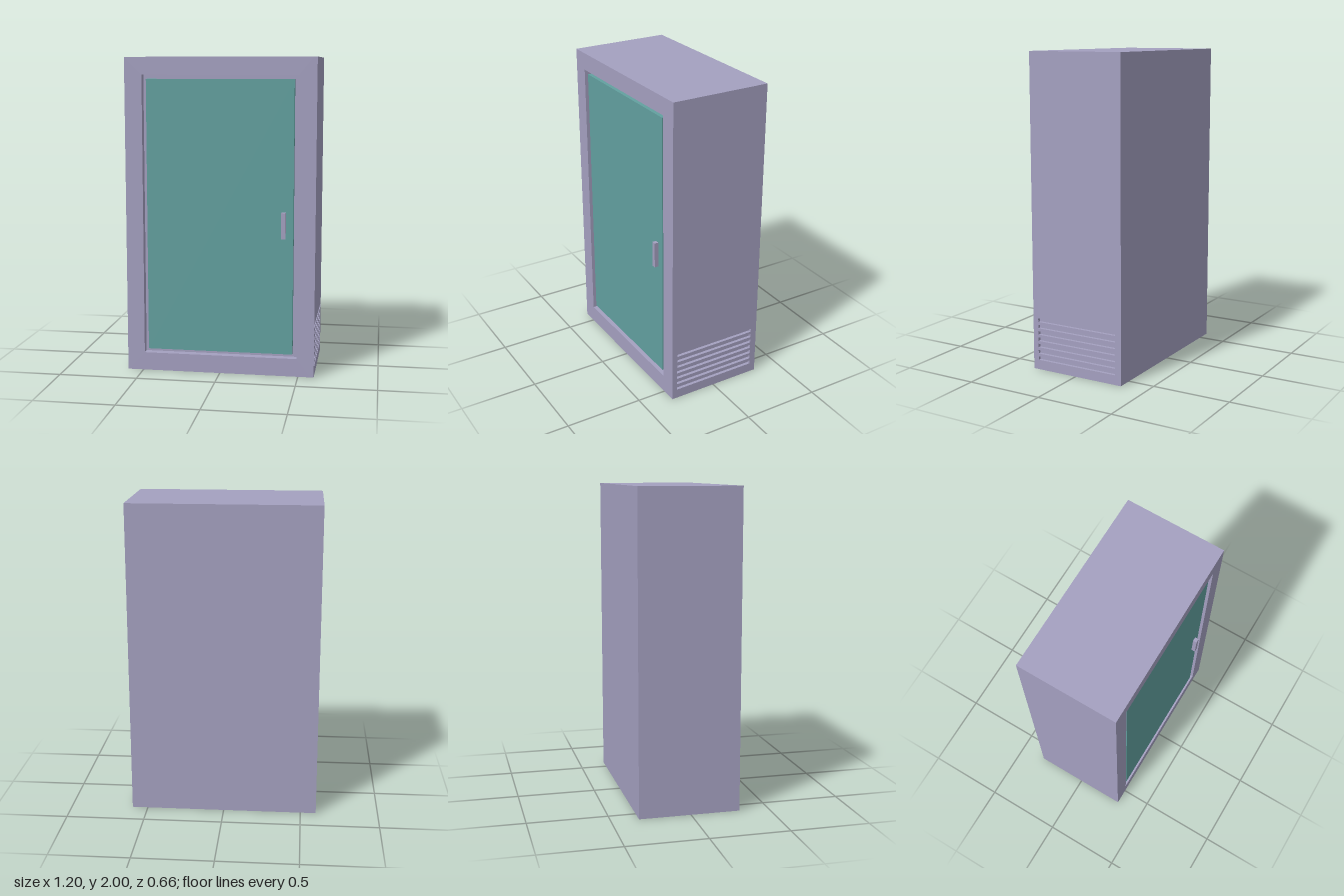
import * as THREE from 'three';

export function createModel() {
  const model = new THREE.Group();
  model.name = 'cabinet';
  const casing = new THREE.MeshStandardMaterial({ color: 0xa4a0c0 });
  casing.name = 'lavender casing';
  const doorColor = new THREE.MeshStandardMaterial({ color: 0x62a09f });
  doorColor.name = 'teal door';

  const BACK = -0.328, FRONT = 0.312, RECESS = 0.05, SIDE = 0.6, SLOT = 0.02;

  const add = (name, geometry, material) => {
    const mesh = new THREE.Mesh(geometry, material);
    mesh.name = name;
    model.add(mesh);
    return mesh;
  };
  // Box given by its limits on each axis
  const box = (name, [x0, x1], [y0, y1], [z0, z1], material) =>
    add(name, new THREE.BoxGeometry(x1 - x0, y1 - y0, z1 - z0), material)
      .position.set((x0 + x1) / 2, (y0 + y1) / 2, (z0 + z1) / 2);
  const rect = (path, x0, x1, y0, y1) =>
    path.moveTo(x0, y0).lineTo(x1, y0).lineTo(x1, y1).lineTo(x0, y1).closePath();
  // Flat panel with rectangular openings
  const panel = (outer, holes, depth) => {
    const shape = rect(new THREE.Shape(), ...outer);
    holes.forEach(h => shape.holes.push(rect(new THREE.Path(), ...h)));
    return new THREE.ExtrudeGeometry(shape, { depth, bevelEnabled: false });
  };

  // Main body behind the front frame and vented side
  box('body', [-SIDE, SIDE - SLOT], [0, 2], [BACK, FRONT - RECESS], casing);

  // Front frame around the door opening
  add('frontFrame', panel([-SIDE, SIDE - SLOT, 0, 2], [[-0.49, 0.49, 0.115, 1.89]], RECESS), casing)
    .position.z = FRONT - RECESS;

  // Left side panel with seven ventilation slots; its shape runs along -z
  const slots = [];
  for (let i = 0; i < 7; i++) {
    const y = 0.062 + i * 0.0415;
    slots.push([-0.276, 0.287, y, y + 0.023]);
  }
  const side = add('ventedSide', panel([-FRONT, -BACK, 0, 2], slots, SLOT), casing);
  side.rotation.y = Math.PI / 2;
  side.position.x = SIDE - SLOT;

  // Door and its handle
  box('door', [-0.465, 0.462], [0.14, 1.865], [FRONT - RECESS, 0.302], doorColor);
  box('handle', [0.387, 0.415], [0.88, 1.045], [0.302, 0.328], casing);

  return model;
}
